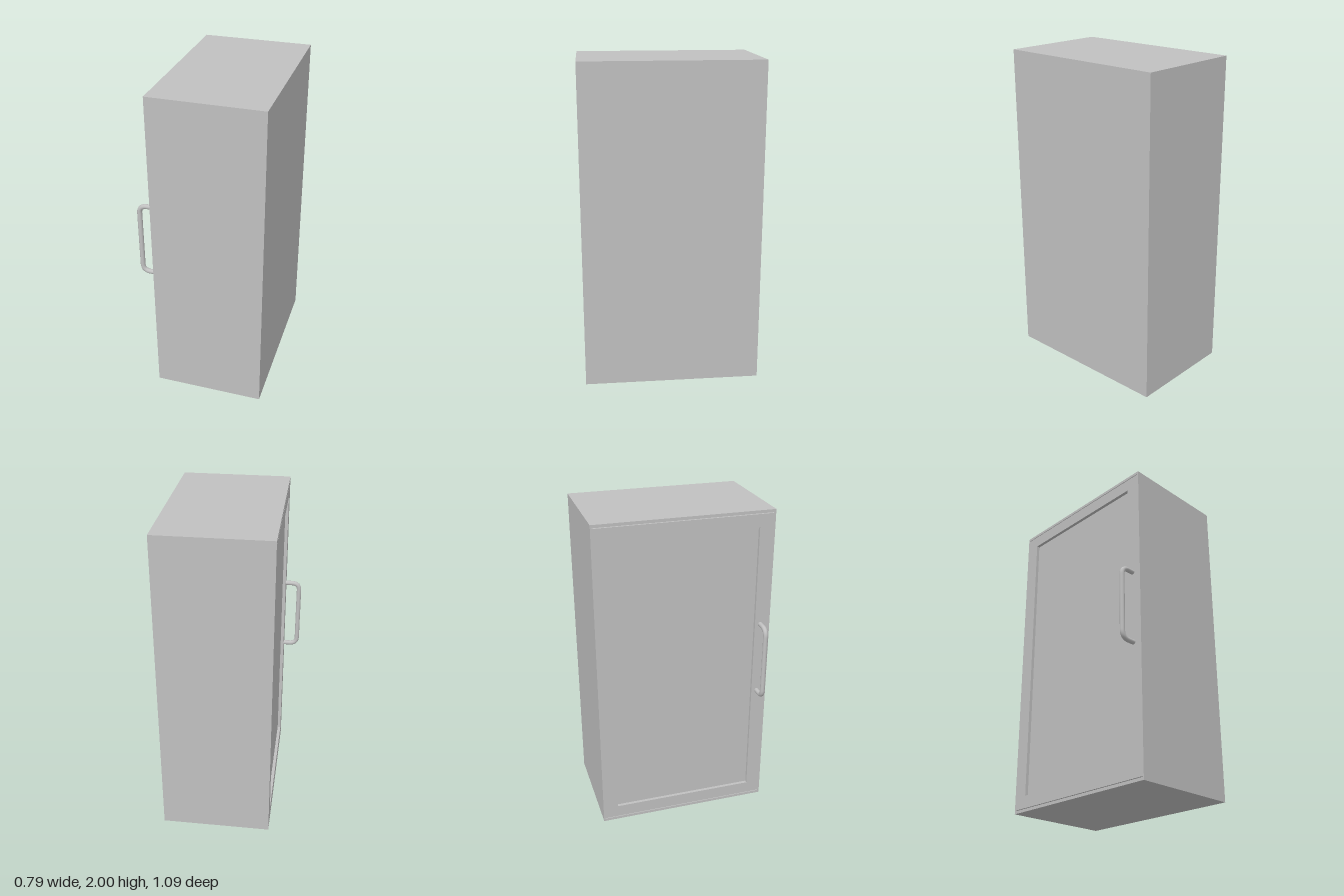
import * as THREE from 'three';

const W = 1.09, H = 2, FACE = -0.29, RECESS = 0.02, BACK = 0.395;

// Rectangular ring standing in the z-y plane, from the body out to the door face
function ring(z0, z1, y0, y1, hz0, hz1, hy0, hy1, material, name) {
  const rect = (P, a, b, c, d) => {
    const p = new P();
    p.moveTo(a, c);
    p.lineTo(b, c);
    p.lineTo(b, d);
    p.lineTo(a, d);
    p.closePath();
    return p;
  };
  const shape = rect(THREE.Shape, z0, z1, y0, y1);
  shape.holes.push(rect(THREE.Path, hz0, hz1, hy0, hy1));
  const geo = new THREE.ExtrudeGeometry(shape, { depth: RECESS, bevelEnabled: false });
  geo.rotateY(-Math.PI / 2); // shape x becomes z, depth runs to -x
  geo.translate(FACE + RECESS, 0, 0);
  const mesh = new THREE.Mesh(geo, material);
  mesh.name = name;
  return mesh;
}

export function createModel() {
  const group = new THREE.Group();
  group.name = 'cabinet';
  const grey = new THREE.MeshStandardMaterial({ color: 0xc0c0c0 });
  grey.name = 'cabinet grey';

  // Carcass, whose -x side is also the recessed door panel
  const depth = BACK - FACE - RECESS;
  const body = new THREE.Mesh(new THREE.BoxGeometry(depth, H, W), grey);
  body.name = 'carcass';
  body.position.set(BACK - depth / 2, H / 2, 0);
  group.add(body);

  // Outer rim and door frame, parted by a thin gap above and below the door
  const z = W / 2, side = z - 0.01, rail = 0.018, gap = 0.004;
  group.add(ring(-z, z, 0, H, -side, side, rail, H - rail, grey, 'rim'));
  group.add(ring(-side, side, rail + gap, H - rail - gap,
    -0.45, 0.45, 0.1, H - 0.1, grey, 'doorFrame'));

  // Bent bar handle
  const hz = 0.485, r = 0.015, bend = 0.05, x = -0.38, y0 = 0.818, y1 = 1.282;
  const v = (a, b) => new THREE.Vector3(a, b, hz);
  const path = new THREE.CurvePath();
  path.add(new THREE.LineCurve3(v(FACE, y0), v(x + bend, y0)));
  path.add(new THREE.QuadraticBezierCurve3(v(x + bend, y0), v(x, y0), v(x, y0 + bend)));
  path.add(new THREE.LineCurve3(v(x, y0 + bend), v(x, y1 - bend)));
  path.add(new THREE.QuadraticBezierCurve3(v(x, y1 - bend), v(x, y1), v(x + bend, y1)));
  path.add(new THREE.LineCurve3(v(x + bend, y1), v(FACE, y1)));
  const handle = new THREE.Mesh(new THREE.TubeGeometry(path, 96, r, 16), grey);
  handle.name = 'handle';
  group.add(handle);

  return group;
}
